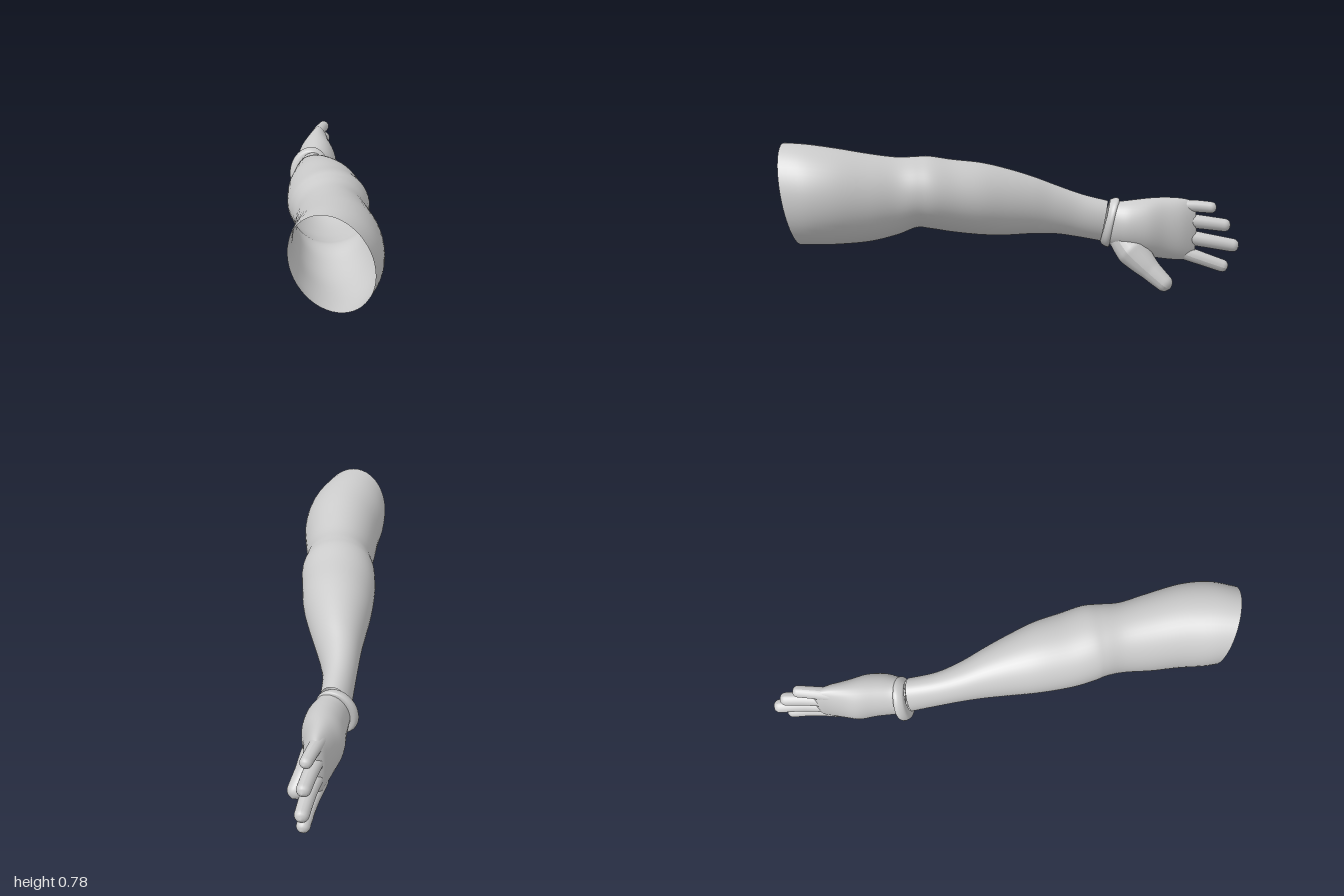
import * as THREE from 'three';

const material = new THREE.MeshStandardMaterial({ color: 0xcccccc, side: THREE.DoubleSide });

// Smooth loft through oval sections.
// Row: outer edge x, z, inner edge x, z, bottom y, top y, lean of the top along z
function loft(name, rows, steps, round = 40, capped = false) {
  const at = (i, k) => rows[Math.min(Math.max(i, 0), rows.length - 1)][k];
  const sample = (t, k) => {
    const i = Math.min(Math.floor(t), rows.length - 2), f = t - i;
    const a = at(i - 1, k), b = at(i, k), c = at(i + 1, k), d = at(i + 2, k);
    return b + 0.5 * f * (c - a + f * (2 * a - 5 * b + 4 * c - d + f * (3 * (b - c) + d - a)));
  };
  const pos = [], index = [];
  const rings = (rows.length - 1) * steps;
  for (let r = 0; r <= rings; r++) {
    const [lx, lz, rx, rz, y0, y1, lean] = [0, 1, 2, 3, 4, 5, 6].map(k => sample(r / steps, k));
    for (let j = 0; j < round; j++) {
      const a = (j / round) * Math.PI * 2, c = Math.cos(a), s = Math.sin(a);
      pos.push(
        (lx + rx) / 2 + c * (rx - lx) / 2,
        (y0 + y1) / 2 + s * (y1 - y0) / 2,
        (lz + rz) / 2 + c * (rz - lz) / 2 + s * lean);
      if (r < rings) {
        const p = r * round + j, q = r * round + (j + 1) % round;
        index.push(p, p + round, q, q, p + round, q + round);
      }
    }
  }
  if (capped) {
    const e = rows[rows.length - 1], base = rings * round;
    pos.push((e[0] + e[2]) / 2, (e[4] + e[5]) / 2, (e[1] + e[3]) / 2 - 0.008);
    for (let j = 0; j < round; j++) index.push(base + j, base + round, base + (j + 1) % round);
  }
  const g = new THREE.BufferGeometry();
  g.setAttribute('position', new THREE.Float32BufferAttribute(pos, 3));
  g.setIndex(index);
  g.computeVertexNormals();
  const mesh = new THREE.Mesh(g, material);
  mesh.name = name;
  return mesh;
}

// Tapered tube with a rounded tip, used for every finger
function digit(name, points, radii) {
  const curve = new THREE.CatmullRomCurve3(points.map(p => new THREE.Vector3(...p)));
  const length = curve.getLength(), tip = radii[radii.length - 1], segs = 40, round = 18;
  const g = new THREE.TubeGeometry(curve, segs, 1, round);
  const p = g.attributes.position, v = new THREE.Vector3();
  for (let i = 0; i <= segs; i++) {
    const t = i / segs, f = t * (radii.length - 1), k = Math.min(Math.floor(f), radii.length - 2);
    let radius = THREE.MathUtils.lerp(radii[k], radii[k + 1], f - k);
    const over = 1 - ((1 - t) * length) / tip;
    if (over > 0) radius *= Math.sqrt(Math.max(1 - over * over, 0.0004));
    const centre = curve.getPointAt(t);
    for (let j = 0; j <= round; j++) {
      const n = i * (round + 1) + j;
      v.fromBufferAttribute(p, n).sub(centre).multiplyScalar(radius).add(centre);
      p.setXYZ(n, v.x, v.y, v.z);
    }
  }
  g.computeVertexNormals();
  const mesh = new THREE.Mesh(g, material);
  mesh.name = name;
  return mesh;
}

export function createModel() {
  const model = new THREE.Group();
  model.name = 'arm';

  // Upper arm (open at the shoulder), elbow and forearm
  model.add(loft('armSkin', [
    [0.315, 0.98, 0.69, 0.88, 0.29, 0.785, 0.05],
    [0.28, 0.92, 0.665, 0.76, 0.29, 0.78, 0.03],
    [0.23, 0.81, 0.60, 0.64, 0.29, 0.76, 0.01],
    [0.165, 0.69, 0.49, 0.51, 0.297, 0.73, 0],
    [0.10, 0.57, 0.40, 0.41, 0.325, 0.71, 0],
    [0.04, 0.50, 0.35, 0.325, 0.358, 0.71, 0],
    [0.0, 0.46, 0.31, 0.25, 0.35, 0.71, 0],
    [-0.07, 0.37, 0.24, 0.165, 0.328, 0.69, 0],
    [-0.155, 0.23, 0.155, 0.065, 0.308, 0.67, 0],
    [-0.22, 0.10, 0.06, -0.02, 0.30, 0.635, 0],
    [-0.28, -0.02, -0.05, -0.11, 0.30, 0.59, 0],
    [-0.34, -0.13, -0.15, -0.19, 0.292, 0.54, 0],
    [-0.40, -0.24, -0.24, -0.28, 0.27, 0.49, -0.01],
    [-0.455, -0.34, -0.315, -0.395, 0.245, 0.455, -0.02],
  ], 5, 48));

  // Rolled glove cuff around the wrist
  model.add(loft('gloveCuff', [
    [-0.455, -0.345, -0.325, -0.395, 0.25, 0.445, -0.025],
    [-0.49, -0.338, -0.325, -0.40, 0.228, 0.458, -0.025],
    [-0.515, -0.36, -0.318, -0.42, 0.212, 0.467, -0.025],
    [-0.51, -0.385, -0.322, -0.435, 0.212, 0.465, -0.025],
    [-0.48, -0.395, -0.34, -0.44, 0.235, 0.45, -0.025],
  ], 5));

  // Palm, flattening towards the knuckles
  model.add(loft('palm', [
    [-0.48, -0.375, -0.33, -0.42, 0.23, 0.455, -0.02],
    [-0.505, -0.42, -0.325, -0.465, 0.21, 0.453, -0.01],
    [-0.545, -0.49, -0.335, -0.53, 0.19, 0.46, 0],
    [-0.587, -0.56, -0.375, -0.61, 0.165, 0.468, 0],
    [-0.602, -0.63, -0.44, -0.68, 0.15, 0.47, 0],
    [-0.615, -0.70, -0.495, -0.745, 0.143, 0.465, 0],
    [-0.622, -0.75, -0.535, -0.78, 0.145, 0.453, 0],
    [-0.61, -0.785, -0.565, -0.80, 0.17, 0.43, 0],
  ], 5, 40, true));

  // Four fingers: base, middle, tip and thickness
  [
    ['littleFinger', [-0.555, 0.42, -0.70], [-0.585, 0.423, -0.79], [-0.618, 0.415, -0.895], 0.029],
    ['ringFinger', [-0.56, 0.353, -0.70], [-0.605, 0.338, -0.83], [-0.658, 0.32, -0.96], 0.033],
    ['middleFinger', [-0.56, 0.27, -0.70], [-0.612, 0.243, -0.85], [-0.68, 0.212, -1.0], 0.034],
    ['indexFinger', [-0.56, 0.195, -0.70], [-0.595, 0.152, -0.82], [-0.65, 0.102, -0.953], 0.032],
  ].forEach(([name, a, b, c, r]) => model.add(digit(name, [a, b, c], [r * 1.2, r * 1.08, r])));

  // Thumb with its fleshy base
  model.add(digit('thumb',
    [[-0.425, 0.30, -0.43], [-0.415, 0.215, -0.50], [-0.405, 0.125, -0.595], [-0.405, 0.02, -0.722]],
    [0.07, 0.085, 0.055, 0.04]));

  return model;
}
